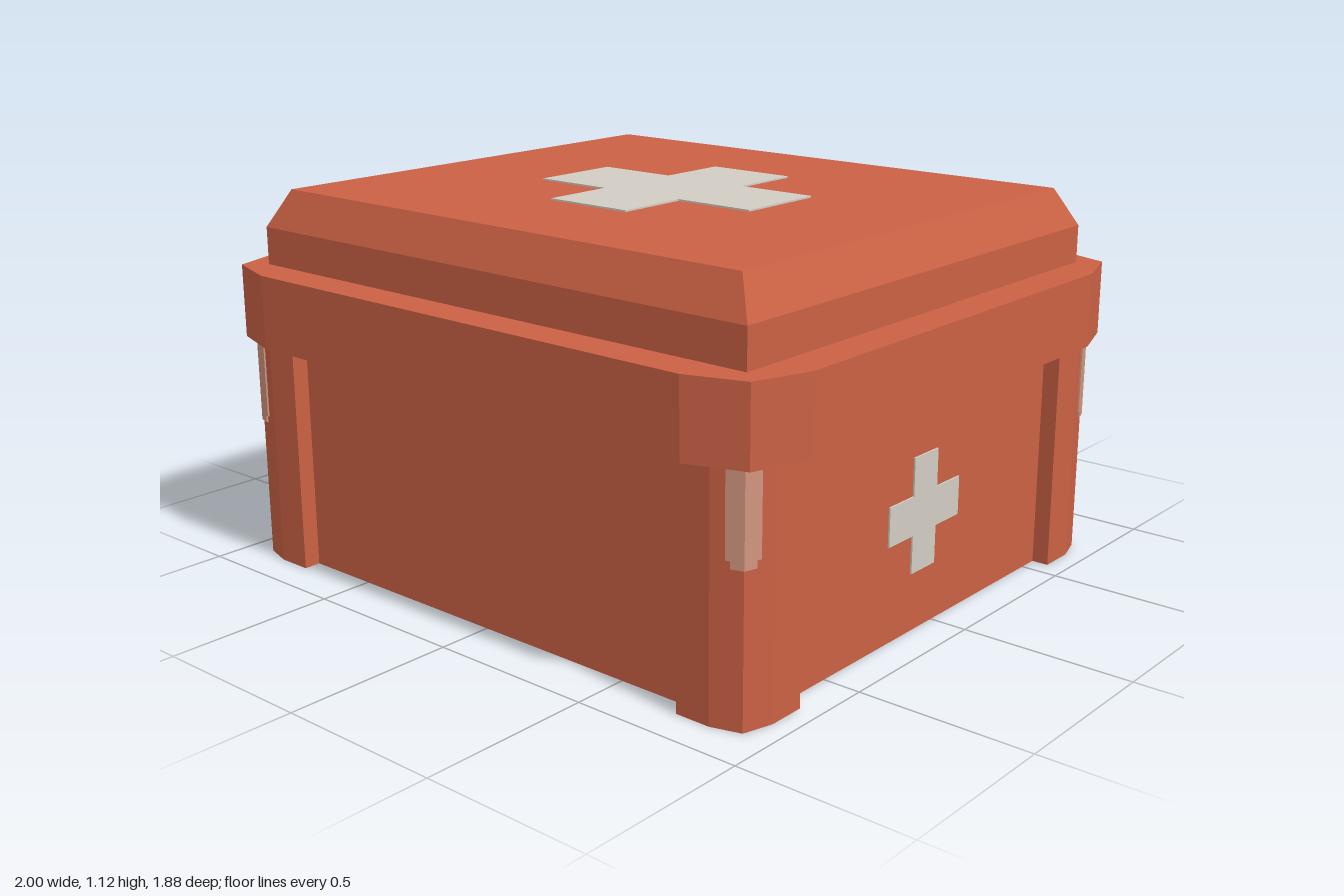
import * as THREE from 'three';

const paint = (name, color) => {
  const m = new THREE.MeshStandardMaterial({ color });
  m.name = name;
  return m;
};

export function createModel() {
  const orange = paint('orange plastic', 0xca6144);
  const dark = paint('dark slate', 0x3c444f);
  const white = paint('off white', 0xd2cdc4);
  const pale = paint('pale orange', 0xd1957f);

  const model = new THREE.Group();
  model.name = 'firstAidBox';
  const box = new THREE.Group();
  box.name = 'box';
  box.position.z = 0.055; // the handle sticks out at the back
  model.add(box);

  const add = (name, geometry, material) => {
    const mesh = new THREE.Mesh(geometry, material);
    mesh.name = name;
    box.add(mesh);
    return mesh;
  };
  const extrude = (points, depth) => new THREE.ExtrudeGeometry(
    new THREE.Shape(points.map(([x, y]) => new THREE.Vector2(x, y))),
    { depth, bevelEnabled: false });
  // Plan outline of [x, z] points raised from y0 to y1
  const raise = (points, y0, y1) =>
    extrude(points.map(([x, z]) => [x, -z]), y1 - y0).rotateX(-Math.PI / 2).translate(0, y0, 0);
  // Repeats one corner's points around all four corners
  const fourCorners = (corner) => {
    const back = [...corner].reverse();
    return [
      ...corner,
      ...back.map(([x, z]) => [x, -z]),
      ...corner.map(([x, z]) => [-x, -z]),
      ...back.map(([x, z]) => [-x, z]),
    ];
  };

  // Body with recessed walls between faceted corner posts
  add('body', raise(fourCorners([
    [0.725, 0.785], [0.725, 0.835], [0.83, 0.835], [0.915, 0.81],
    [0.94, 0.725], [0.94, 0.615], [0.89, 0.615],
  ]), 0, 0.675), orange);

  // Lid rim
  add('lidRim', raise(fourCorners([[0.78, 0.885], [0.945, 0.83], [1, 0.665]]), 0.675, 0.89), orange);

  // Raised lid with a bevelled top
  let lid = new THREE.BoxGeometry(1.78, 0.22, 1.55, 1, 2, 1);
  const p = lid.attributes.position;
  for (let i = 0; i < p.count; i++) {
    if (p.getY(i) > 0.05) {
      p.setX(i, Math.sign(p.getX(i)) * 0.832);
      p.setZ(i, Math.sign(p.getZ(i)) * 0.722);
    }
  }
  lid = lid.toNonIndexed();
  lid.computeVertexNormals();
  add('lidTop', lid, orange).position.y = 1.0;

  // Painted crosses on the lid and both sides
  const cross = (w, h, a) => extrude([
    [a, h], [a, a], [w, a], [w, -a], [a, -a], [a, -h],
    [-a, -h], [-a, -a], [-w, -a], [-w, a], [-a, a], [-a, h],
  ], 0.006);
  add('lidCross', cross(0.39, 0.36, 0.14).rotateX(-Math.PI / 2).translate(0, 1.109, 0), white);
  for (const s of [1, -1]) {
    add('sideCross', cross(0.168, 0.165, 0.056).rotateY(s * Math.PI / 2).translate(s * 0.889, 0.335, 0.003), white);
  }

  // Pale strips wrapped around the corner posts, narrower at the lower end
  const strip = (k) => {
    const c = [0.915, 0.81];
    const a = [c[0] - 0.045 * k, c[1] + 0.013 * k];
    const b = [c[0] + 0.013 * k, c[1] - 0.045 * k];
    const out = ([x, z], dx, dz) => [x + dx, z + dz];
    return [a, c, b, out(b, 0.005, 0.001), out(c, 0.004, 0.004), out(a, 0.001, 0.005)];
  };
  for (const sx of [1, -1]) for (const sz of [1, -1]) {
    for (const [k, y0, y1] of [[1, 0.44, 0.675], [0.72, 0.42, 0.44]]) {
      add('cornerStrip', raise(strip(k).map(([x, z]) => [sx * x, sz * z]), y0, y1), pale);
    }
  }

  // Latches hooked over the rim at the back
  const latch = [
    [-0.77, 0.945], [-0.86, 0.945], [-0.915, 0.83], [-0.86, 0.39], [-0.78, 0.39],
  ];
  for (const x of [0.78, -0.445]) {
    add('latch', extrude(latch, 0.335).rotateY(-Math.PI / 2).translate(x, 0, 0), dark);
  }

  // Eight-sided knob between the latches
  const knob = new THREE.CylinderGeometry(0.184, 0.184, 0.12, 8).toNonIndexed();
  knob.computeVertexNormals();
  knob.rotateY(Math.PI / 8).rotateX(Math.PI / 2);
  add('knob', knob, dark).position.set(0, 0.45, -0.83);

  // Carrying handle
  const half = [[0.33, -0.78], [0.33, -0.89], [0.275, -1.0]];
  const inner = [[0.205, -0.925], [0.24, -0.87], [0.24, -0.78]];
  const side = [...half, ...inner];
  const mirror = (list) => [...list].reverse().map(([x, z]) => [-x, z]);
  add('handle', raise([...side.slice(0, 3), ...mirror(half), ...mirror(inner).slice(0, 3), ...inner], 0.115, 0.222), orange);

  return model;
}
